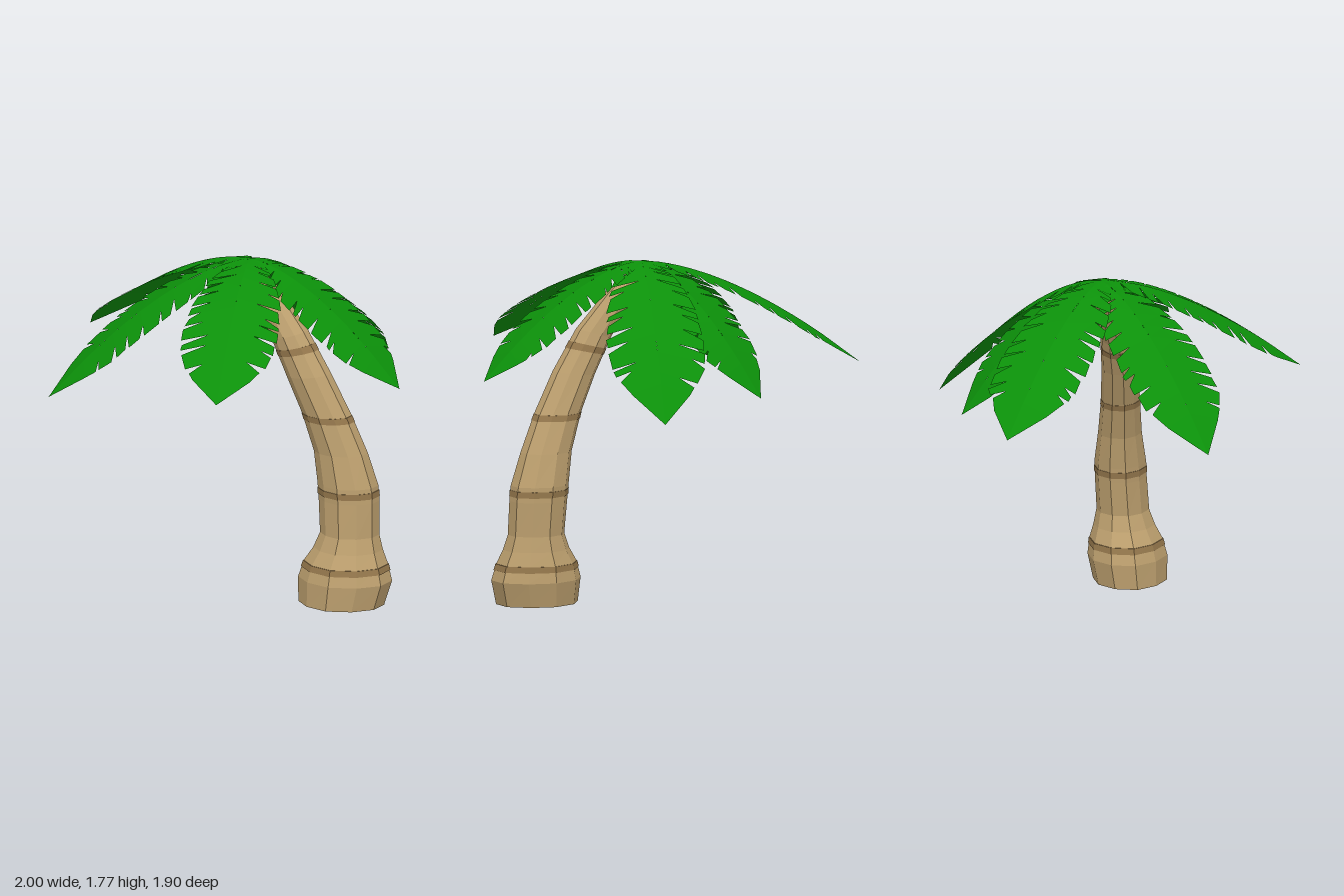
import * as THREE from 'three';

const SIDES = 10;
const CROWN = new THREE.Vector3(0.1, 1.77, -0.07);

// Trunk sections from the ground up: y, x, z, radius in x, radius in z, tilt
const TRUNK = [
  [0, 0.67, 0.03, 0.225, 0.19, 0],
  [0.13, 0.685, 0.015, 0.247, 0.205, 0],
  [0.22, 0.687, 0.008, 0.22, 0.187, 0],
  [0.29, 0.695, -0.002, 0.182, 0.158, 0],
  [0.37, 0.7, -0.01, 0.155, 0.135, 0],
  [0.55, 0.692, -0.02, 0.16, 0.133, 0],
  [0.63, 0.685, -0.022, 0.16, 0.133, 0],
  [0.8, 0.645, -0.02, 0.143, 0.112, 0],
  [1.0, 0.568, -0.01, 0.132, 0.1, 0],
  [1.2, 0.468, -0.005, 0.118, 0.094, 0.12],
  [1.4, 0.355, -0.015, 0.1, 0.08, 0.3],
  [1.58, 0.225, -0.045, 0.075, 0.06, 0.5],
  [1.72, 0.1, -0.07, 0.04, 0.035, 0.7],
];

// Half width of a frond along its length: position, width
const OUTLINE = [[0, 0.04], [0.08, 0.1], [0.2, 0.17], [0.4, 0.235], [0.6, 0.255], [0.75, 0.24], [0.86, 0.15], [1, 0]];

// Frond tips: x, y, z, width scale
const FRONDS = [
  [1.0, 1.19, 0.02, 1],
  [0.38, 1.26, 0.95, 1],
  [-0.76, 1.08, 0.57, 1],
  [-1.0, 1.2, -0.46, 1],
  [-0.21, 1.11, -0.77, 0.95],
  [0.48, 1.05, -0.95, 1],
];

// Linear lookup in a table sorted by its first column
function lookup(table, t) {
  let i = 0;
  while (i < table.length - 2 && t > table[i + 1][0]) i++;
  const a = table[i], b = table[i + 1];
  const k = (t - a[0]) / (b[0] - a[0]);
  return a.map((v, n) => v + (b[n] - v) * k);
}

function seeded(seed) {
  let s = seed * 7919 + 17;
  return () => (s = (s * 16807) % 2147483647) / 2147483647;
}

function makeMesh(points, material, name) {
  const geometry = new THREE.BufferGeometry().setFromPoints(points);
  geometry.computeVertexNormals();
  const mesh = new THREE.Mesh(geometry, material);
  mesh.name = name;
  return mesh;
}

// One slightly uneven ring of the trunk
function ring([y, x, z, rx, rz, tilt], swell) {
  return Array.from({ length: SIDES }, (_, i) => {
    const a = ((i + 0.5) / SIDES) * Math.PI * 2;
    const r = swell * (1 + 0.025 * Math.sin(i * 3.7));
    const u = Math.cos(a) * rx * r;
    return new THREE.Vector3(x + u * Math.cos(tilt), y + u * Math.sin(tilt), z + Math.sin(a) * rz * r);
  });
}

// Skin a stack of sections, closing both ends
function loft(sections, swell = 1) {
  const rings = sections.map((s) => ring(s, swell));
  const ends = [sections[0], sections[sections.length - 1]].map((s) => new THREE.Vector3(s[1], s[0], s[2]));
  const last = rings[rings.length - 1];
  const out = [];
  for (let i = 0; i < SIDES; i++) {
    const j = (i + 1) % SIDES;
    for (let k = 0; k < rings.length - 1; k++) {
      const b = rings[k], t = rings[k + 1];
      out.push(b[i], t[i], b[j], b[j], t[i], t[j]);
    }
    out.push(ends[0], rings[0][i], rings[0][j], ends[1], last[j], last[i]);
  }
  return out;
}

// A drooping frond: two halves of leaflets split by V-shaped notches
function frondPoints([tx, ty, tz, scale], seed) {
  const rand = seeded(seed);
  const along = new THREE.Vector3(tx - CROWN.x, 0, tz - CROWN.z);
  const across = new THREE.Vector3(-along.z, 0, along.x).normalize();
  const at = (s, w) => {
    const p = CROWN.clone().addScaledVector(along, s).addScaledVector(across, w);
    p.y -= (CROWN.y - ty) * Math.pow(s, 1.65) + 0.16 * Math.abs(w);
    return p;
  };
  const width = (s) => lookup(OUTLINE, s)[1] * scale;
  const out = [];
  const count = 11, bladeEnd = 0.83, sweep = 0.03;
  for (const side of [1, -1]) {
    const tri = (a, b, c) => (side > 0 ? out.push(a, c, b) : out.push(a, b, c));
    // Notches cut deeper close to the crown
    const notches = Array.from({ length: count + 1 }, (_, i) => ({
      s: ((i + (i % count ? (rand() - 0.5) * 0.6 : 0)) / count) * bladeEnd,
      depth: (i < 4 ? 0.2 : 0.42) + 0.35 * rand(),
    }));
    for (let i = 0; i < count; i++) {
      const a = notches[i], b = notches[i + 1];
      const gap = 0.012 + 0.018 * rand();
      const s0 = a.s + sweep + gap, s1 = b.s + sweep;
      const m0 = at(a.s, 0), m1 = at(b.s, 0);
      const n0 = at(a.s + sweep / 2, side * width(a.s) * a.depth);
      const n1 = at(b.s + sweep / 2, side * width(b.s) * b.depth);
      const o0 = at(s0, side * width(s0) * (0.94 + 0.08 * rand()));
      const o1 = at(s1, side * width(s1));
      tri(m0, m1, n0);
      tri(n0, m1, n1);
      tri(n0, n1, o0);
      tri(o0, n1, o1);
    }
    // Pointed tip
    const end = bladeEnd + sweep;
    const n = notches[count];
    const inner = at(n.s + sweep / 2, side * width(n.s) * n.depth);
    tri(at(bladeEnd, 0), at(1, 0), inner);
    tri(inner, at(1, 0), at(end, side * width(end)));
  }
  return out;
}

export function createModel() {
  const model = new THREE.Group();
  model.name = 'palmTree';
  const bark = new THREE.MeshStandardMaterial({ color: 0xbc9f6e, flatShading: true });
  const darkBark = new THREE.MeshStandardMaterial({ color: 0x94774c, flatShading: true });
  const green = new THREE.MeshStandardMaterial({ color: 0x0c910a, flatShading: true, side: THREE.DoubleSide });

  model.add(makeMesh(loft(TRUNK), bark, 'trunk'));

  // Dark growth bands around the trunk
  [0.185, 0.575, 0.965, 1.31].forEach((y, i) => {
    const sections = [lookup(TRUNK, y), lookup(TRUNK, y + 0.032)];
    model.add(makeMesh(loft(sections, 1.02), darkBark, `trunkBand${i + 1}`));
  });

  // Crown of fronds
  const crown = new THREE.Group();
  crown.name = 'crown';
  FRONDS.forEach((f, i) => crown.add(makeMesh(frondPoints(f, i + 1), green, `frond${i + 1}`)));
  model.add(crown);
  return model;
}
